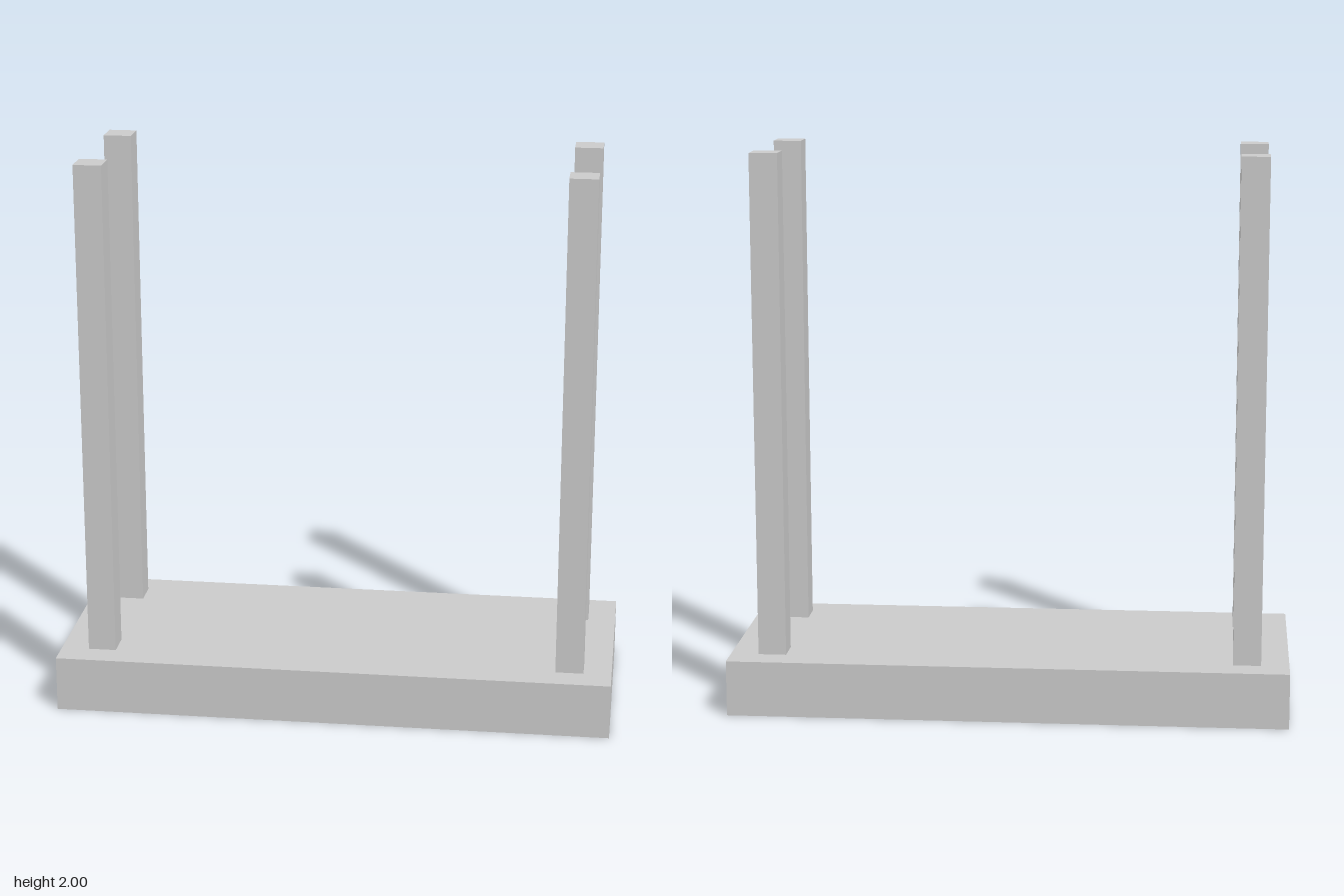
import * as THREE from 'three';

export function createModel() {
  const model = new THREE.Group();
  const material = new THREE.MeshStandardMaterial({ color: 0xcccccc, flatShading: true });

  const add = (name, geometry, x, y, z) => {
    const mesh = new THREE.Mesh(geometry, material);
    mesh.name = name;
    mesh.position.set(x, y, z);
    model.add(mesh);
    return mesh;
  };

  const rectangle = (PathType, w, d) => new PathType([
    new THREE.Vector2(-w / 2, -d / 2), new THREE.Vector2(w / 2, -d / 2),
    new THREE.Vector2(w / 2, d / 2), new THREE.Vector2(-w / 2, d / 2),
  ]);

  // Slab: one tray profile swept across the depth would leave open ends,
  // so it is a solid upper plate on a rim that frames the recess below
  add('slabTop', new THREE.BoxGeometry(2, 0.1, 0.8), 0, 0.15, 0);
  const rim = rectangle(THREE.Shape, 2, 0.8);
  rim.holes.push(rectangle(THREE.Path, 1.8, 0.6));
  const rimGeometry = new THREE.ExtrudeGeometry(rim, { depth: 0.1, bevelEnabled: false });
  rimGeometry.rotateX(-Math.PI / 2);
  add('slabRim', rimGeometry, 0, 0, 0);

  // Four square posts standing near the corners
  const postGeometry = new THREE.BoxGeometry(0.1, 1.8, 0.1);
  for (const [side, x] of [['Left', 0.85], ['Right', -0.85]]) {
    for (const [end, z] of [['front', 0.25], ['back', -0.25]]) {
      add(`${end}${side}Post`, postGeometry, x, 1.1, z);
    }
  }

  return model;
}
